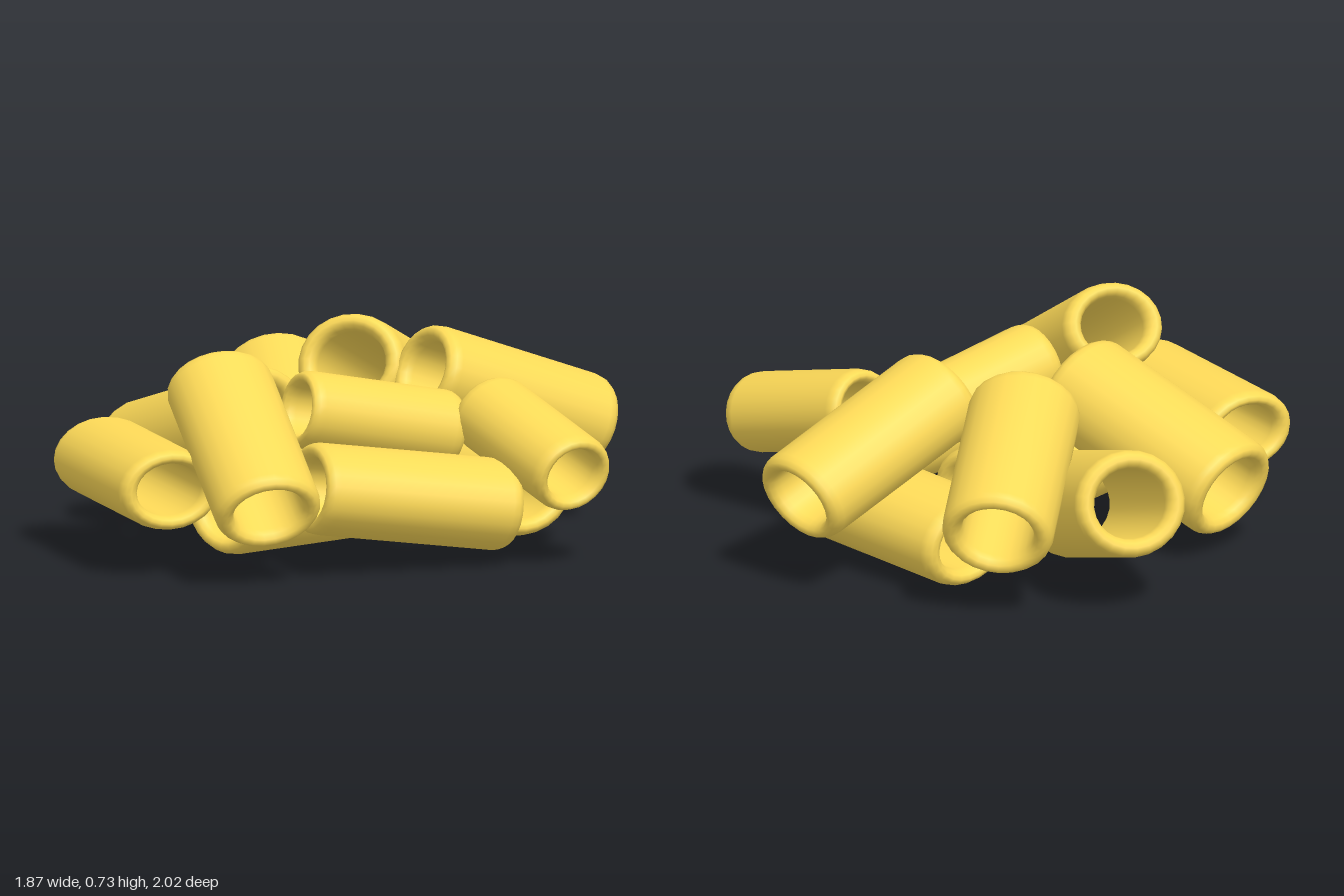
import * as THREE from 'three';

// One hollow tube with rounded rims: end points a and b, half width, half height
function makeTube(name, a, b, halfWidth, halfHeight, material) {
  const start = new THREE.Vector3(...a), end = new THREE.Vector3(...b);
  const axis = end.clone().sub(start);
  const half = axis.length() / 2;
  axis.normalize();

  // Closed wall profile: outside going up, top rim, inside going down, bottom rim
  const wall = halfWidth * 0.35, mid = halfWidth - wall / 2, rim = 0.045;
  const profile = [new THREE.Vector2(mid - wall / 2, 0)];
  const steps = 6;
  for (let i = 0; i <= steps; i++) {
    const t = Math.PI * (1 + i / steps);
    profile.push(new THREE.Vector2(mid + Math.cos(t) * wall / 2, -half + rim + Math.sin(t) * rim));
  }
  profile.push(new THREE.Vector2(halfWidth, 0));
  for (let i = 0; i <= steps; i++) {
    const t = Math.PI * i / steps;
    profile.push(new THREE.Vector2(mid + Math.cos(t) * wall / 2, half - rim + Math.sin(t) * rim));
  }
  profile.push(profile[0].clone());
  const geometry = new THREE.LatheGeometry(profile, 24);
  geometry.scale(1, 1, halfHeight / halfWidth); // slightly flattened section

  // Width stays horizontal while the tube leans along its axis
  const side = new THREE.Vector3().crossVectors(axis, new THREE.Vector3(0, 1, 0)).normalize();
  const up = new THREE.Vector3().crossVectors(side, axis);
  const mesh = new THREE.Mesh(geometry, material);
  mesh.quaternion.setFromRotationMatrix(new THREE.Matrix4().makeBasis(side, axis, up));
  mesh.position.copy(start).add(end).multiplyScalar(0.5);
  mesh.name = name;
  return mesh;
}

export function createModel() {
  const group = new THREE.Group();
  group.name = 'tubePile';
  const material = new THREE.MeshStandardMaterial({ color: 0xffdb58 });

  // name, first end, second end, half width, half height
  const tubes = [
    // bottom layer
    ['bottomMiddleTube', [0.045, 0.18, -0.165], [-0.305, 0.19, 0.48], 0.192, 0.162],
    ['bottomBackTube', [-0.005, 0.158, -0.585], [0.55, 0.19, -0.165], 0.2, 0.157],
    ['bottomFrontTube', [0.045, 0.30, 0.58], [0.57, 0.19, 0.095], 0.2, 0.155],
    ['backRightTube', [-0.585, 0.395, -0.785], [-0.28, 0.18, -0.2], 0.195, 0.182],
    ['frontRightTube', [-0.815, 0.30, 0.275], [-0.355, 0.30, 0.805], 0.18, 0.137],
    // upper layer
    ['rightTube', [-0.825, 0.23, -0.14], [-0.235, 0.465, 0.23], 0.197, 0.178],
    ['backTube', [-0.145, 0.305, -0.955], [-0.145, 0.56, -0.31], 0.19, 0.172],
    ['backLeftTube', [0.15, 0.57, -0.23], [0.57, 0.325, -0.735], 0.188, 0.16],
    ['frontTube', [-0.34, 0.612, 0.42], [0.03, 0.258, 0.895], 0.185, 0.152],
    // small tubes
    ['smallLeftTube', [0.425, 0.46, -0.14], [0.857, 0.32, 0.173], 0.15, 0.136],
    ['smallMiddleTube', [-0.095, 0.515, 0.315], [0.305, 0.395, -0.095], 0.143, 0.133],
  ];
  for (const tube of tubes) group.add(makeTube(...tube, material));
  return group;
}
